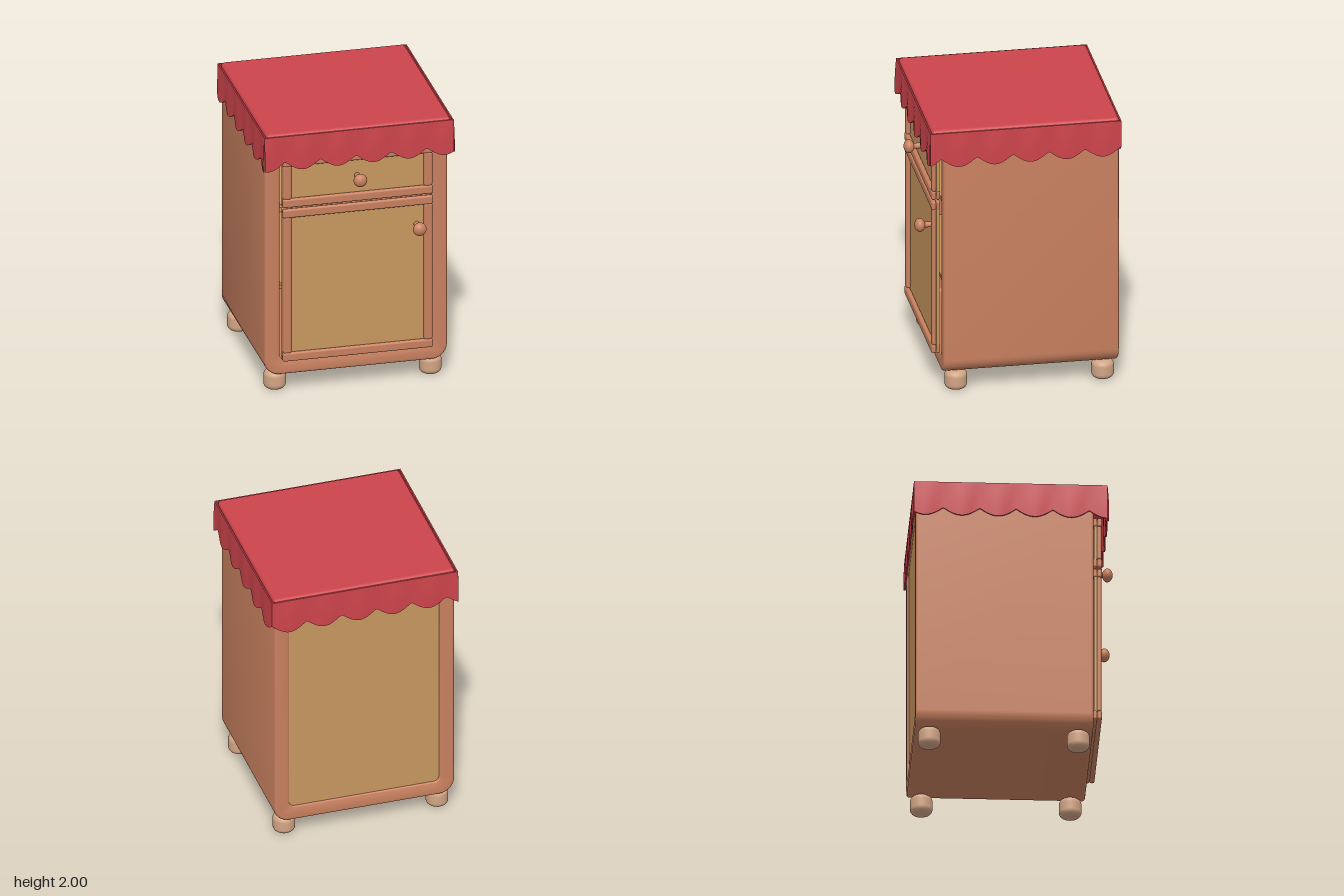
import * as THREE from 'three';
import { toCreasedNormals } from 'three/addons/utils/BufferGeometryUtils.js';
import { RoundedBoxGeometry } from 'three/addons/geometries/RoundedBoxGeometry.js';

const material = (name, color, side = THREE.FrontSide) => {
  const m = new THREE.MeshStandardMaterial({ color, side });
  m.name = name;
  return m;
};

// Rounded rectangle between two corners
function roundedRect(target, x0, y0, x1, y1, r) {
  target.moveTo(x0 + r, y0);
  target.lineTo(x1 - r, y0);
  target.absarc(x1 - r, y0 + r, r, -Math.PI / 2, 0);
  target.lineTo(x1, y1 - r);
  target.absarc(x1 - r, y1 - r, r, 0, Math.PI / 2);
  target.lineTo(x0 + r, y1);
  target.absarc(x0 + r, y1 - r, r, Math.PI / 2, Math.PI);
  target.lineTo(x0, y0 + r);
  target.absarc(x0 + r, y0 + r, r, Math.PI, Math.PI * 1.5);
  return target;
}

// One wall of scalloped cloth: runs along +x from 0, outside faces +z
function clothWall(length, phase) {
  const pitch = 0.254, columns = 108, top = 1.985, thick = 0.01, loop = 8;
  const positions = [], indices = [];
  for (let i = 0; i <= columns; i++) {
    const s = (i / columns) * length;
    const wave = Math.abs(Math.sin((Math.PI * (s + phase)) / pitch));
    const low = 1.79 - 0.06 * wave;
    const heights = [0, 0.35, 0.7, 1].map((t) => [top + (low - top) * t, 0.012 * wave * wave * Math.sin(t * 2)]);
    heights.forEach(([y, z]) => positions.push(s, y, z));
    heights.reverse().forEach(([y, z]) => positions.push(s, y, z - thick));
  }
  for (let i = 0; i < columns; i++) {
    for (let j = 0; j < loop; j++) {
      const a = i * loop + j, b = i * loop + ((j + 1) % loop);
      indices.push(a, b, a + loop, b, b + loop, a + loop);
    }
  }
  const g = new THREE.BufferGeometry();
  g.setAttribute('position', new THREE.Float32BufferAttribute(positions, 3));
  g.setIndex(indices);
  return toCreasedNormals(g, 0.6);
}

export function createModel() {
  const model = new THREE.Group();
  model.name = 'bedsideCabinet';
  const wood = material('terracottaWood', 0xc8805f);
  const panelWood = material('honeyPanel', 0xc8975f);
  const footWood = material('paleFootWood', 0xd2a585);
  const cloth = material('redCloth', 0xcc444b, THREE.DoubleSide);

  const add = (name, geometry, mat, x = 0, y = 0, z = 0, parent = model) => {
    const mesh = new THREE.Mesh(geometry, mat);
    mesh.name = name;
    mesh.position.set(x, y, z);
    parent.add(mesh);
    return mesh;
  };
  // Rounded bar given by its limits
  const bar = (name, x0, x1, y0, y1, z0, z1, parent, r = 0.014) =>
    add(name, new RoundedBoxGeometry(x1 - x0, y1 - y0, z1 - z0, 3, r), wood,
      (x0 + x1) / 2, (y0 + y1) / 2, (z0 + z1) / 2, parent);

  // Hollow body with softened front and back edges
  const outline = roundedRect(new THREE.Shape(), -0.655, 0.14, 0.655, 1.95, 0.11);
  outline.holes.push(roundedRect(new THREE.Path(), -0.545, 0.25, 0.545, 1.84, 0.04));
  const bevel = 0.018;
  const shell = new THREE.ExtrudeGeometry(outline, {
    depth: 1.24 - 2 * bevel, curveSegments: 10, bevelEnabled: true,
    bevelThickness: bevel, bevelSize: bevel, bevelOffset: -bevel, bevelSegments: 4,
  });
  add('bodyShell', toCreasedNormals(shell, 0.6), wood, 0, 0, -0.69 + bevel);

  // Back panel and inner shelves
  add('backPanel', new THREE.BoxGeometry(1.1, 1.6, 0.02), panelWood, 0, 1.045, -0.665);
  for (const y of [0.82, 1.415]) {
    add('innerShelf', new THREE.BoxGeometry(1.09, 0.025, 1.19), panelWood, 0, y, -0.055);
  }

  // Knob on a short stem
  const knob = (x, y, parent) => {
    const ball = add('knob', new THREE.SphereGeometry(0.048, 28, 20), wood, x, y, 0.677, parent);
    ball.scale.z = 0.78;
    const stem = add('knobStem', new THREE.CylinderGeometry(0.02, 0.02, 0.09, 16), wood, x, y, 0.615, parent);
    stem.rotation.x = Math.PI / 2;
  };

  // Framed front: panel, rails and stiles
  const framedFront = (name, y0, y1, knobX, knobY) => {
    const group = new THREE.Group();
    group.name = name;
    model.add(group);
    add(name + 'Panel', new THREE.BoxGeometry(1.07, y1 - y0 - 0.06, 0.022), panelWood,
      0, (y0 + y1) / 2, 0.569, group);
    for (const y of [y0, y1 - 0.065]) {
      bar('frontRail', -0.538, 0.538, y, y + 0.065, 0.58, 0.614, group);
      bar('backRail', -0.538, 0.538, y, y + 0.065, 0.552, 0.58, group, 0.012);
    }
    for (const side of [-1, 1]) {
      const x = side * 0.505;
      bar('stile', x - 0.03, x + 0.03, y0 + 0.06, y1 - 0.06, 0.576, 0.61, group);
    }
    knob(knobX, knobY, group);
  };
  framedFront('door', 0.26, 1.412, 0.425, 1.195);
  framedFront('drawer', 1.425, 1.8, 0, 1.61);

  // Rounded feet
  const r = 0.079, c = 0.04, profile = [new THREE.Vector2(0, 0.005)];
  for (let i = 0; i <= 6; i++) {
    const a = (i / 6) * Math.PI / 2;
    profile.push(new THREE.Vector2(r - c + c * Math.sin(a), 0.005 + c - c * Math.cos(a)));
  }
  for (let i = 0; i <= 6; i++) {
    const a = (i / 6) * Math.PI / 2;
    profile.push(new THREE.Vector2(r - c + c * Math.cos(a), 0.142 - c + c * Math.sin(a)));
  }
  profile.push(new THREE.Vector2(0, 0.142));
  const footGeometry = new THREE.LatheGeometry(profile, 28);
  for (const x of [-0.557, 0.557]) {
    for (const z of [-0.59, 0.447]) add('foot', footGeometry, footWood, x, 0, z);
  }

  // Cloth top and scalloped skirt
  add('clothTop', new RoundedBoxGeometry(1.32, 0.07, 1.325, 4, 0.025), cloth, 0, 1.965, -0.03);
  const X = 0.677, Z0 = -0.702, Z1 = 0.645;
  const walls = [
    ['clothFront', 2 * X, 0.108, -X, Z1, 0],
    ['clothLeft', Z1 - Z0, 0.179, X, Z1, Math.PI / 2],
    ['clothBack', 2 * X, 0, X, Z0, Math.PI],
    ['clothRight', Z1 - Z0, 0.05, -X, Z0, -Math.PI / 2],
  ];
  for (const [name, length, phase, x, z, turn] of walls) {
    add(name, clothWall(length, phase), cloth, x, 0, z).rotation.y = turn;
  }
  return model;
}
